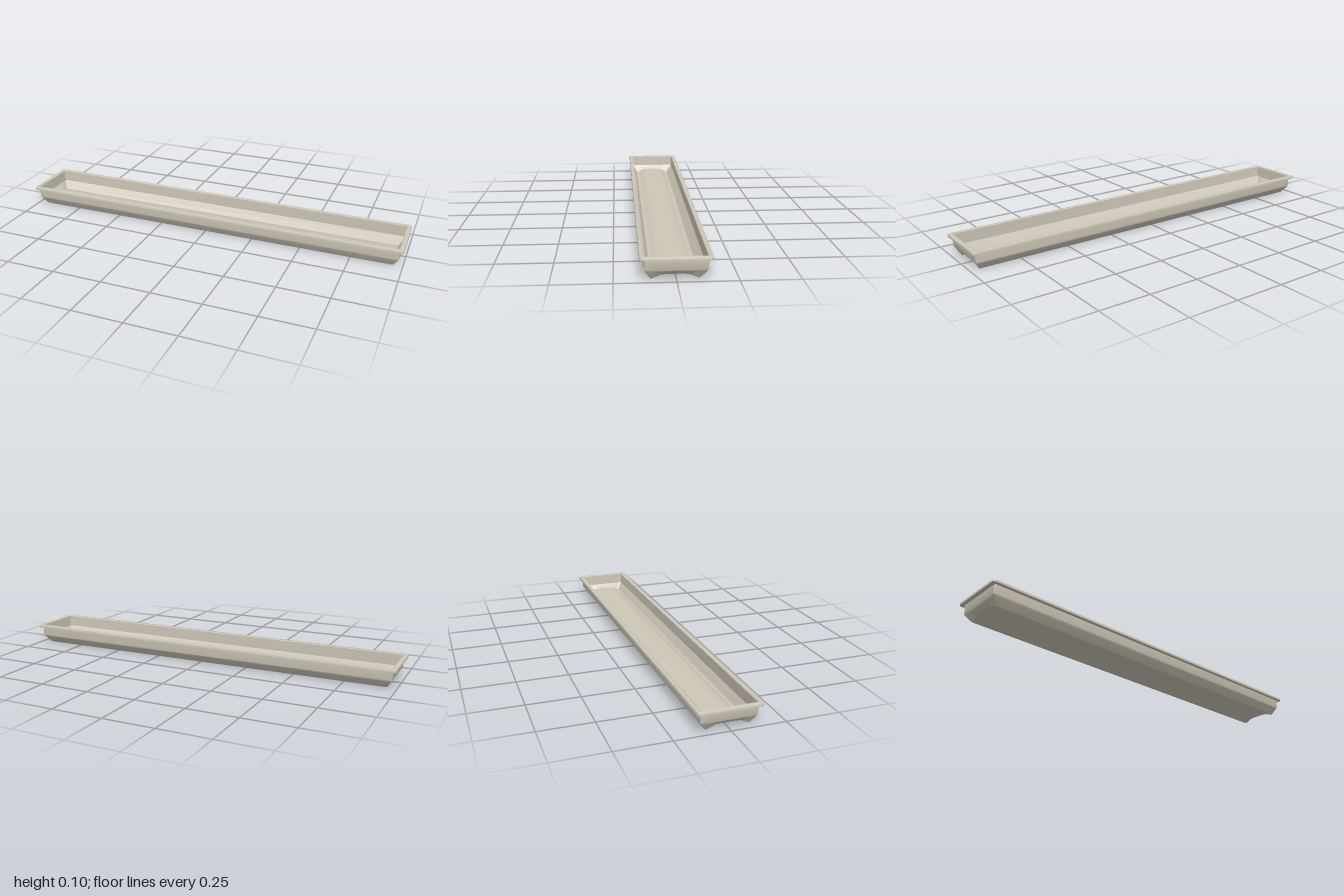
import * as THREE from 'three';
import { toCreasedNormals } from 'three/addons/utils/BufferGeometryUtils.js';

// Underside height across the width (u = 0 centre, 1 foot ridge)
const PROFILE = [[0, 0.018], [0.3, 0.018], [0.58, 0.016], [0.8, 0.005], [0.95, 0], [1, 0]];
function ridge(u) {
  u = Math.min(Math.abs(u), 1);
  for (let i = 1; i < PROFILE.length; i++) {
    const [u0, y0] = PROFILE[i - 1], [u1, y1] = PROFILE[i];
    if (u <= u1) return y0 + (y1 - y0) * (u - u0) / (u1 - u0);
  }
  return 0;
}

const SAMPLES = [0.8, 0.7, 0.58, 0.3, 0, -0.3, -0.58, -0.7, -0.8];
const ARC = 4;

// Rounded rectangle: right half front to back, then the mirrored left half
function ring(w, d, y, r = 0.004, zShift = 0) {
  const right = [];
  const add = (x, z) => right.push([x, typeof y === 'function' ? y(z / d) : y, z + zShift]);
  for (let i = 0; i <= ARC; i++) {
    const a = (Math.PI / 2) * (1 - i / ARC);
    add(w - r + r * Math.cos(a), d - r + r * Math.sin(a));
  }
  for (const s of SAMPLES) add(w, s * d);
  for (let i = 0; i <= ARC; i++) {
    const a = -(Math.PI / 2) * (i / ARC);
    add(w - r + r * Math.cos(a), -(d - r) + r * Math.sin(a));
  }
  const left = right.map(([x, py, z]) => [-x, py, z]).reverse();
  return [...right, ...left];
}

// Joins successive rings; optionally closes the first or last with a floor
function skin(rings, floorFirst, floorLast) {
  const pos = [], idx = [], n = rings[0].length;
  rings.forEach(r => r.forEach(p => pos.push(...p)));
  const quad = (a, b, c, d) => idx.push(a, b, c, a, c, d);
  for (let k = 0; k < rings.length - 1; k++)
    for (let j = 0; j < n; j++) {
      const a = k * n + j, b = k * n + (j + 1) % n;
      quad(a, b, b + n, a + n);
    }
  for (let j = 0; j < n / 2 - 1; j++) {
    const m = n - 1 - j;
    if (floorFirst) quad(j, m, m - 1, j + 1);
    const o = (rings.length - 1) * n;
    if (floorLast) quad(o + j, o + j + 1, o + m - 1, o + m);
  }
  const g = new THREE.BufferGeometry();
  g.setAttribute('position', new THREE.Float32BufferAttribute(pos, 3));
  g.setIndex(idx);
  return toCreasedNormals(g, 0.5);
}

export function createModel() {
  const group = new THREE.Group();
  const stone = new THREE.MeshStandardMaterial({ color: 0xcdc7b7 });
  stone.name = 'warm grey';
  const add = (name, geometry) => {
    const mesh = new THREE.Mesh(geometry, stone);
    mesh.name = name;
    group.add(mesh);
    return mesh;
  };

  // Outer tray: ridged underside, sloped skirt and upright walls
  add('outerTray', skin([
    ring(0.955, 0.1, ridge, 0.004, 0.004),
    ring(0.976, 0.125, 0.036),
    ring(0.98, 0.128, 0.043),
    ring(0.981, 0.129, 0.088),
  ], true, false));

  // Overhanging rim with a rounded top edge
  add('rim', skin([
    ring(0.981, 0.129, 0.088),
    ring(1, 0.147, 0.088, 0.012),
    ring(1, 0.147, 0.097, 0.012),
    ring(0.9985, 0.1455, 0.1005, 0.011),
    ring(0.995, 0.142, 0.102, 0.009),
    ring(0.981, 0.128, 0.102),
    ring(0.978, 0.125, 0.1),
  ], false, false));

  // Inner basin: walls, sloped sides and grooved floor
  add('innerBasin', skin([
    ring(0.978, 0.125, 0.1),
    ring(0.976, 0.124, 0.044),
    ring(0.973, 0.121, 0.039),
    ring(0.953, 0.097, u => ridge(u) + 0.005, 0.004, 0.004),
  ], false, true));

  // Small locating studs at the middle of each rim side
  for (const [x, z] of [[0, 0.132], [0, -0.132], [0.985, 0], [-0.985, 0]]) {
    add('rimStud', new THREE.CylinderGeometry(0.004, 0.006, 0.003, 12)).position.set(x, 0.1025, z);
  }
  return group;
}
